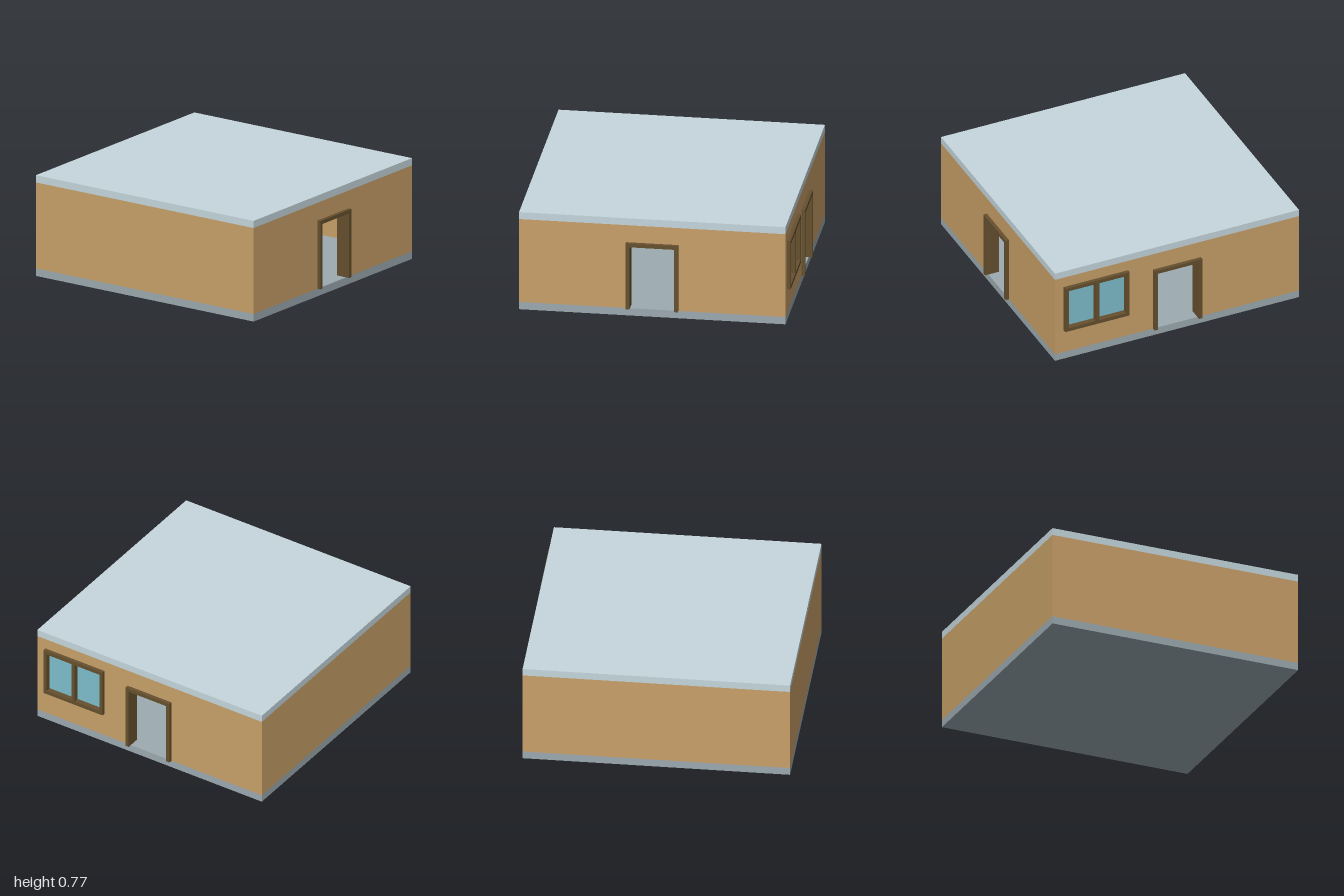
import * as THREE from 'three';

const SIZE = 1.972, HALF = SIZE / 2;   // square plan
const FLOOR = 0.058, WALL_TOP = 0.715, ROOF_TOP = 0.77;
const WALL = 0.056, TRIM = 0.028;      // wall thickness, frame width and projection

const mat = (color) => new THREE.MeshStandardMaterial({ color });
const wallMat = mat(0xc8a068), roofMat = mat(0xc5d7dd), floorMat = mat(0x9caab0);
const trimMat = mat(0x66502e), glassMat = mat(0x7ebecb);

function mesh(name, geometry, material, x = 0, y = 0, z = 0) {
  const m = new THREE.Mesh(geometry, material);
  m.name = name;
  m.position.set(x, y, z);
  return m;
}

const points = (list) => list.map(([x, y]) => new THREE.Vector2(x, y));
const rect = (x0, y0, x1, y1) => points([[x0, y0], [x1, y0], [x1, y1], [x0, y1]]);
const extrude = (shape, depth) => new THREE.ExtrudeGeometry(shape, { depth, bevelEnabled: false });

// Openings in wall coordinates: centre x, width, bottom, top
const DOOR = { type: 'door', x: 0, w: 0.386, y0: FLOOR, y1: 0.58 };
const WINDOW = { type: 'window', x: -0.655, w: 0.52, y0: 0.25, y1: 0.632 };

// Wall panel facing +z; doors are notches in the outline, windows are holes
function wallPanel(halfLength, openings) {
  const outline = [[-halfLength, FLOOR]];
  const holes = [];
  for (const o of openings) {
    const a = o.x - o.w / 2, b = o.x + o.w / 2;
    if (o.type === 'door') outline.push([a, o.y0], [a, o.y1], [b, o.y1], [b, o.y0]);
    else holes.push(new THREE.Path(rect(a, o.y0, b, o.y1)));
  }
  outline.push([halfLength, FLOOR], [halfLength, WALL_TOP], [-halfLength, WALL_TOP]);
  const shape = new THREE.Shape(points(outline));
  shape.holes.push(...holes);
  return mesh('wall', extrude(shape, WALL), wallMat, 0, 0, HALF - WALL);
}

// Frame projecting on both faces of the wall
function opening(o) {
  const g = new THREE.Group();
  g.name = o.type;
  const a = o.x - o.w / 2, b = o.x + o.w / 2, depth = WALL + 2 * TRIM;
  const mid = HALF - WALL / 2;
  let shape;
  if (o.type === 'door') {
    shape = new THREE.Shape(points([
      [a, o.y0], [a + TRIM, o.y0], [a + TRIM, o.y1 - TRIM], [b - TRIM, o.y1 - TRIM],
      [b - TRIM, o.y0], [b, o.y0], [b, o.y1], [a, o.y1]]));
  } else {
    shape = new THREE.Shape(rect(a, o.y0, b, o.y1));
    // two lights with a central mullion
    for (const [p, q] of [[a + TRIM, o.x - TRIM / 2], [o.x + TRIM / 2, b - TRIM]]) {
      shape.holes.push(new THREE.Path(rect(p, o.y0 + TRIM, q, o.y1 - TRIM)));
      g.add(mesh('windowPane', new THREE.BoxGeometry(q - p, o.y1 - o.y0 - 2 * TRIM, TRIM),
        glassMat, (p + q) / 2, (o.y0 + o.y1) / 2, mid));
    }
  }
  g.add(mesh(o.type + 'Frame', extrude(shape, depth), trimMat, 0, 0, mid - depth / 2));
  return g;
}

export function createModel() {
  const model = new THREE.Group();
  model.name = 'house';
  const body = new THREE.Group();
  body.name = 'building';
  body.position.set(-TRIM / 2, 0, TRIM / 2);
  model.add(body);

  // Floor and flat roof slabs
  const roofHeight = ROOF_TOP - WALL_TOP;
  body.add(mesh('floorSlab', new THREE.BoxGeometry(SIZE, FLOOR, SIZE), floorMat, 0, FLOOR / 2, 0));
  body.add(mesh('roofSlab', new THREE.BoxGeometry(SIZE, roofHeight, SIZE), roofMat, 0, WALL_TOP + roofHeight / 2, 0));

  // Four walls turned about the centre; side walls fit between front and back
  const sides = [
    ['frontWall', 0, []],
    ['leftWall', Math.PI / 2, [DOOR]],
    ['backWall', Math.PI, [WINDOW, DOOR]],
    ['rightWall', -Math.PI / 2, []],
  ];
  sides.forEach(([name, angle, openings], i) => {
    const side = new THREE.Group();
    side.name = name;
    side.rotation.y = angle;
    side.add(wallPanel(i % 2 ? HALF - WALL : HALF, openings));
    for (const o of openings) side.add(opening(o));
    body.add(side);
  });
  return model;
}
